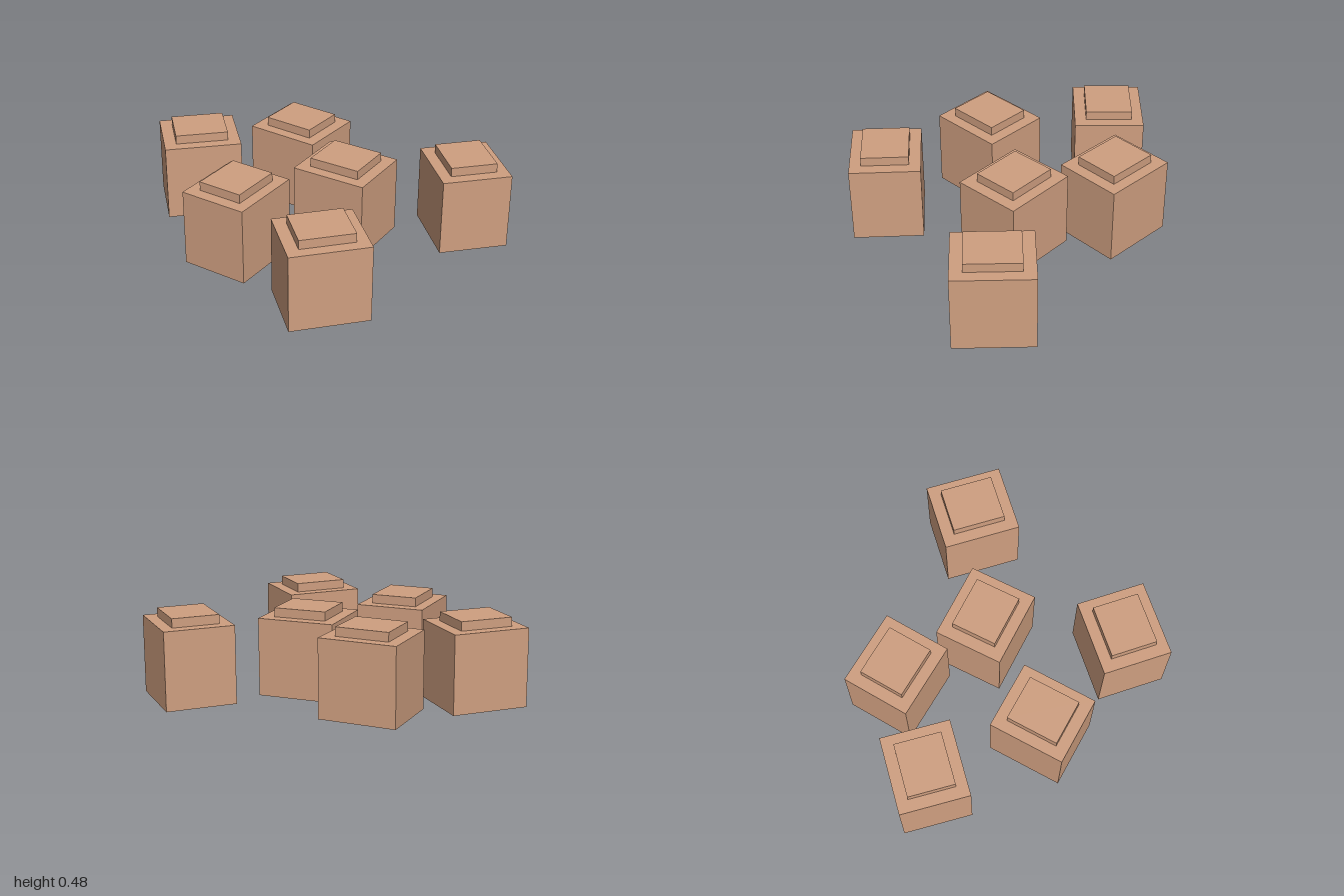
import * as THREE from 'three';

// Six scattered crates, each with a smaller raised lid
export function createModel() {
  const model = new THREE.Group();
  model.name = 'crates';
  const tan = new THREE.MeshStandardMaterial({ color: 0xcf9f80 });
  tan.name = 'tan';

  const bodyHeight = 0.43, lidHeight = 0.05;
  const bodyGeometry = new THREE.BoxGeometry(0.428, bodyHeight, 0.385);
  const lidGeometry = new THREE.BoxGeometry(0.294, lidHeight, 0.258);

  // x, z, turn about y
  const placements = [
    [-0.305, -0.42, 0],
    [0.186, -0.15, 0.06],
    [-0.145, 0.396, Math.PI / 2 + 0.03],
    [-0.714, 0.011, 0.803],
    [0.709, -0.545, -0.741],
    [0.499, 0.537, 0.856],
  ];

  for (const [x, z, turn] of placements) {
    const crate = new THREE.Group();
    crate.name = 'crate';
    const body = new THREE.Mesh(bodyGeometry, tan);
    body.name = 'crateBody';
    body.position.y = bodyHeight / 2;
    const lid = new THREE.Mesh(lidGeometry, tan);
    lid.name = 'crateLid';
    lid.position.y = bodyHeight + lidHeight / 2;
    crate.add(body, lid);
    crate.position.set(x, 0, z);
    crate.rotation.y = turn;
    model.add(crate);
  }
  return model;
}
